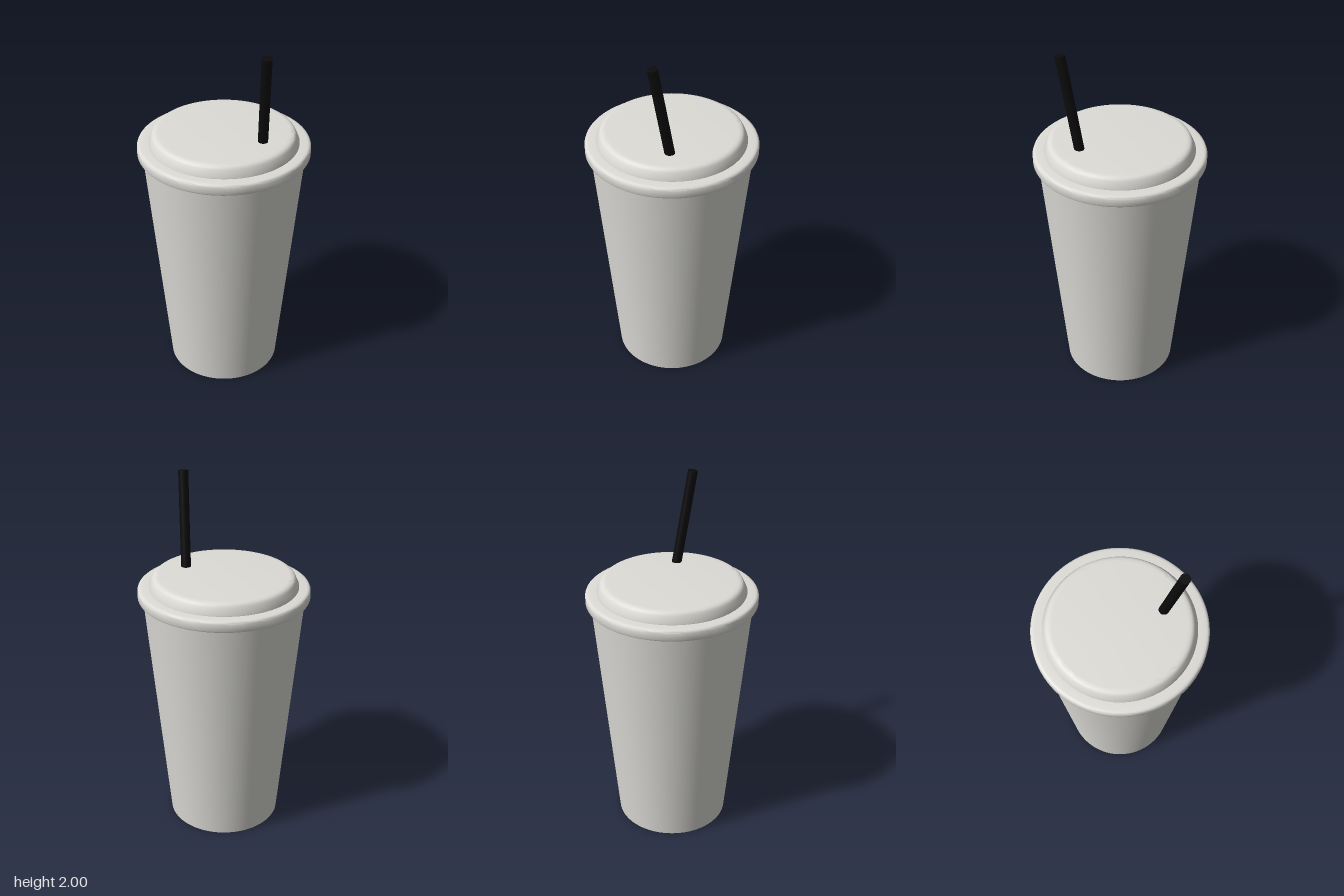
import * as THREE from 'three';
import { toCreasedNormals } from 'three/addons/utils/BufferGeometryUtils.js';

const paper = new THREE.MeshStandardMaterial({ name: 'off-white', color: 0xdddcd7 });
const black = new THREE.MeshStandardMaterial({ name: 'black', color: 0x0b0b0b });

// Turned part from [radius, height] pairs, listed from bottom to top
function turned(name, profile) {
  const points = profile.map(([r, y]) => new THREE.Vector2(r, y));
  const geometry = toCreasedNormals(new THREE.LatheGeometry(points, 96), 0.7);
  const mesh = new THREE.Mesh(geometry, paper);
  mesh.name = name;
  return mesh;
}

export function createModel() {
  const group = new THREE.Group();
  group.name = 'takeawayCup';

  // Tapered cup with a flat base
  group.add(turned('cupBody', [[0, 0], [0.315, 0], [0.44, 1.37]]));

  // Lid: rounded rim band
  group.add(turned('lidRim', [
    [0.43, 1.362], [0.456, 1.362], [0.463, 1.365], [0.467, 1.373],
    [0.467, 1.411], [0.464, 1.419], [0.457, 1.424], [0.447, 1.426], [0.39, 1.426],
  ]));

  // Lid: raised top with a softly rounded shoulder
  group.add(turned('lidTop', [
    [0.405, 1.424], [0.405, 1.431], [0.388, 1.468], [0.383, 1.477],
    [0.376, 1.483], [0.366, 1.487], [0.35, 1.488], [0, 1.488],
  ]));

  // Leaning straw, from just inside the lid to its tip
  const foot = new THREE.Vector3(0.095, 1.46, 0.215);
  const tip = new THREE.Vector3(0.04, 1.997, 0.301);
  const axis = tip.clone().sub(foot);
  const straw = new THREE.Mesh(new THREE.CylinderGeometry(0.027, 0.027, axis.length(), 32), black);
  straw.name = 'straw';
  straw.position.copy(foot).add(tip).multiplyScalar(0.5);
  straw.quaternion.setFromUnitVectors(new THREE.Vector3(0, 1, 0), axis.normalize());
  group.add(straw);

  return group;
}
